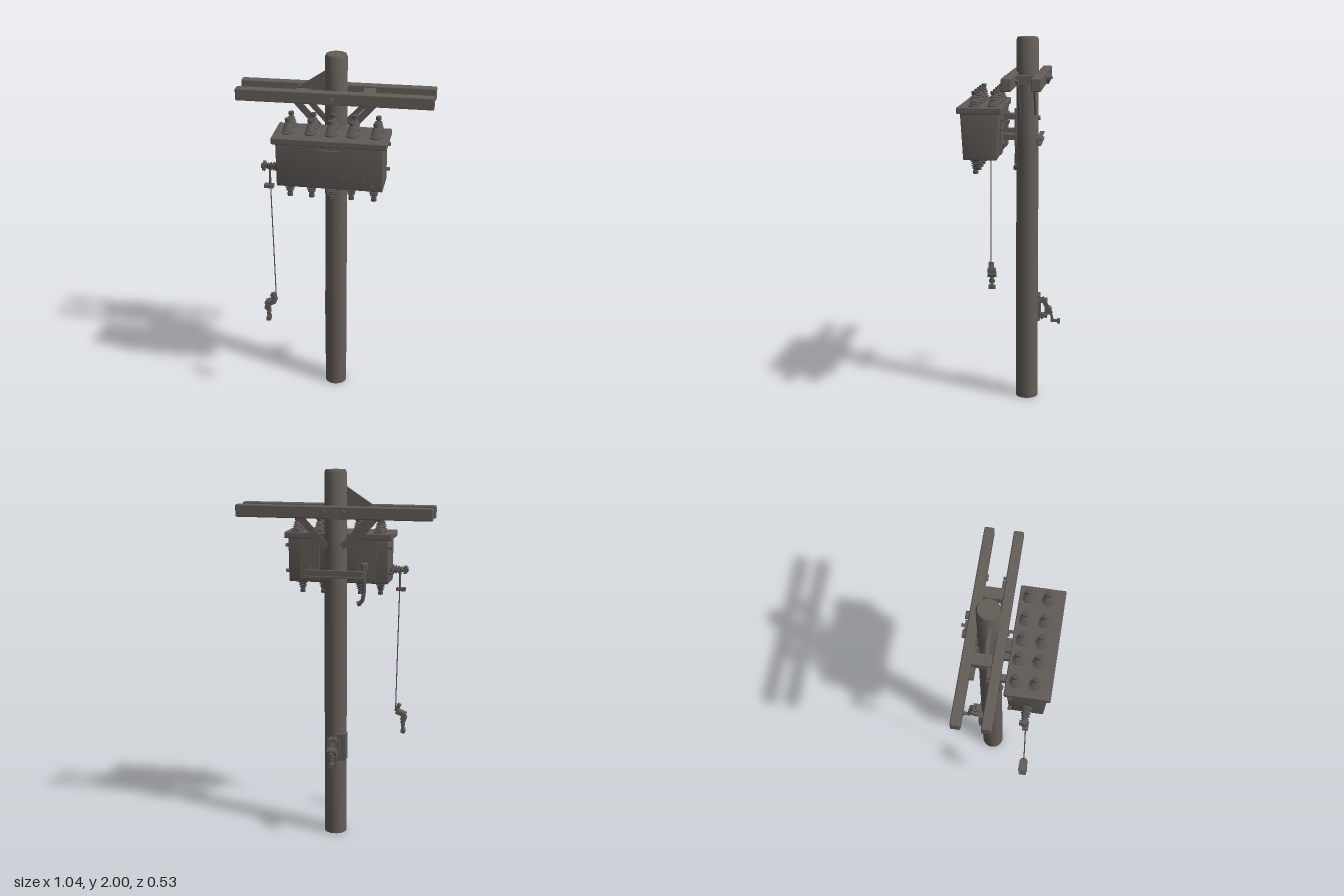
import * as THREE from 'three';
import { RoundedBoxGeometry } from 'three/addons/geometries/RoundedBoxGeometry.js';
import { toCreasedNormals } from 'three/addons/utils/BufferGeometryUtils.js';

const wood = new THREE.MeshStandardMaterial({ color: 0x645e59 });
wood.name = 'weathered wood';
const steel = new THREE.MeshStandardMaterial({ color: 0x605b58 });
steel.name = 'painted steel';
const ceramic = new THREE.MeshStandardMaterial({ color: 0x565250 });
ceramic.name = 'dark ceramic';

const V = (x, y, z) => new THREE.Vector3(x, y, z);
const UP = V(0, 1, 0);

export function createModel() {
  const root = new THREE.Group();

  function add(name, geo, mat, pos = [0, 0, 0], rot = [0, 0, 0], parent = root) {
    const m = new THREE.Mesh(geo, mat);
    m.name = name;
    m.position.set(...pos);
    m.rotation.set(...rot);
    parent.add(m);
    return m;
  }
  const box = (name, size, pos, mat = steel, rot, parent) =>
    add(name, new THREE.BoxGeometry(...size), mat, pos, rot, parent);
  const cyl = (name, r, h, pos, mat = steel, rot, sides = 12) =>
    add(name, new THREE.CylinderGeometry(r, r, h, sides), mat, pos, rot);
  const bolt = (pos, r = 0.01, h = 0.014) => cyl('bolt', r, h, pos, steel, [Math.PI / 2, 0, 0], 6);

  // Flat bar or round rod running between two points
  function link(name, a, b, w, d, round = false, mat = steel) {
    const len = a.distanceTo(b);
    const geo = round ? new THREE.CylinderGeometry(w, d, len, 8) : new THREE.BoxGeometry(w, len, d);
    const m = add(name, geo, mat, a.clone().add(b).multiplyScalar(0.5).toArray());
    m.quaternion.setFromUnitVectors(UP, b.clone().sub(a).normalize());
    return m;
  }

  // Pole with a slightly worn top edge
  const poleProfile = [[0, 0], [0.061, 0], [0.0605, 0.6], [0.06, 1.4], [0.059, 1.985], [0.053, 2], [0, 2]];
  add('pole', toCreasedNormals(new THREE.LatheGeometry(poleProfile.map(p => new THREE.Vector2(...p)), 24), 0.6),
    wood, [0.002, 0, -0.082]);

  // Twin crossarms, chamfered and a little uneven
  for (const z of [-0.013, -0.16]) {
    const geo = new RoundedBoxGeometry(1.04, 0.066, 0.05, 1, 0.007);
    const p = geo.attributes.position;
    for (let i = 0; i < p.count; i++) p.setY(i, p.getY(i) + 0.002 * Math.sign(p.getX(i)));
    add('crossarm', geo, wood, [0, 1.785, z]);
  }
  // Through bolts, washers, spacers and braces
  cyl('throughBolt', 0.009, 0.26, [-0.005, 1.785, -0.085], steel, [Math.PI / 2, 0, 0], 8);
  box('rearWasherPlate', [0.05, 0.045, 0.014], [-0.005, 1.775, -0.19]);
  for (const s of [-1, 1]) {
    bolt([s * 0.05, 1.785, -0.194], 0.02, 0.018);
    box('armSpacer', [0.06, 0.045, 0.1], [s * 0.175, 1.785, -0.087], wood);
    link('armBrace', V(s * 0.23, 1.775, -0.046), V(s * 0.045, 1.57, -0.046), 0.035, 0.009);
    link('rearBrace', V(s * 0.2, 1.775, -0.128), V(s * 0.04, 1.6, -0.128), 0.03, 0.008);
    box('braceFoot', [0.11, 0.03, 0.016], [s * 0.2, 1.775, -0.045]);
    for (const x of [0.25, 0.27]) {
      bolt([s * x, 1.785, -0.043], 0.008, 0.018);
      bolt([s * x, 1.785, -0.132], 0.007, 0.014);
    }
  }
  // Triangular gusset beside the pole top
  const tri = new THREE.Shape([[-0.2, 1.815], [-0.05, 1.815], [-0.05, 1.915]].map(p => new THREE.Vector2(...p)));
  add('gusset', new THREE.ExtrudeGeometry(tri, { depth: 0.02, bevelEnabled: false }), steel, [0, 0, -0.075]);
  bolt([-0.015, 1.77, 0.015], 0.009, 0.01);

  // Tank with tapering front and back
  const tankGeo = new RoundedBoxGeometry(0.55, 0.25, 0.205, 2, 0.006);
  const tp = tankGeo.attributes.position;
  for (let i = 0; i < tp.count; i++) {
    const t = 0.5 - tp.getY(i) / 0.25;
    tp.setZ(i, tp.getZ(i) * (1 - 0.15 * t));
  }
  add('tank', toCreasedNormals(tankGeo, 0.6), steel, [0.015, 1.505, 0.143]);
  add('tankLid', new RoundedBoxGeometry(0.59, 0.035, 0.23, 2, 0.006), steel, [0.015, 1.637, 0.146]);
  box('frontLug', [0.1, 0.03, 0.016], [0.015, 1.583, 0.245]);
  for (const [x, y, z] of [[0.09, 1.45, 0.236], [0.19, 1.433, 0.235], [0.235, 1.412, 0.234]]) bolt([x, y, z], 0.01, 0.008);
  for (const x of [-0.268, 0.298]) {
    cyl('sideStud', 0.01, 0.02, [x, 1.58, 0.06], steel, [0, 0, Math.PI / 2], 6);
    cyl('sideStud', 0.009, 0.02, [x, 1.44, 0.06], steel, [0, 0, Math.PI / 2], 6);
  }

  // Mounting plates on the tank back, hung from the pole
  for (const x of [-0.14, 0.17]) {
    box('mountPlate', [0.11, 0.22, 0.008], [x, 1.51, 0.043]);
    for (const [dx, y] of [[-0.03, 1.58], [0.03, 1.58], [-0.03, 1.53], [0.03, 1.53]]) bolt([x + dx, y, 0.035], 0.007);
    bolt([x, 1.45, 0.034], 0.018, 0.016);
  }
  for (const y of [1.47, 1.58]) box('poleBracket', [0.07, 0.03, 0.07], [0.005, y, 0.012]);
  box('poleBracketPlate', [0.06, 0.2, 0.012], [0.005, 1.52, -0.02]);

  // Ribbed bushings, one shared profile
  const ribbed = (h, r) => {
    const pts = [[0, 0], [r, 0], [r, h * 0.12]];
    for (let i = 0; i < 4; i++) {
      const y = h * (0.16 + i * 0.14), w = r * (0.95 - i * 0.1);
      pts.push([w * 0.65, y], [w, y + h * 0.03], [w * 0.65, y + h * 0.1]);
    }
    pts.push([r * 0.3, h * 0.74], [r * 0.45, h * 0.78], [r * 0.45, h * 0.97], [0, h]);
    return toCreasedNormals(new THREE.LatheGeometry(pts.map(p => new THREE.Vector2(...p)), 14), 0.7);
  };
  const topBushing = ribbed(0.085, 0.031), lowBushing = ribbed(0.085, 0.032);
  for (const x of [-0.207, -0.09, 0.014, 0.124, 0.246]) {
    for (const z of [0.077, 0.175]) add('topBushing', topBushing, ceramic, [x, 1.65, z]);
    add('bottomBushing', lowBushing, ceramic, [x * 0.97, 1.386, 0.17], [Math.PI, 0, 0]);
  }
  add('sideBushing', ribbed(0.105, 0.03), ceramic, [-0.255, 1.45, 0.145], [0, 0, Math.PI / 2]);
  box('sideTerminal', [0.016, 0.04, 0.045], [-0.342, 1.45, 0.143]);

  // Hanging lead with its clips
  link('leadRod', V(-0.312, 1.45, 0.148), V(-0.312, 1.33, 0.148), 0.006, 0.006, true);
  box('leadClip', [0.05, 0.018, 0.03], [-0.318, 1.34, 0.15]);
  link('lead', V(-0.31, 1.335, 0.15), V(-0.296, 0.66, 0.15), 0.003, 0.003, true);

  // Hook clamp at the end of the lead
  link('clampJaw', V(-0.318, 0.685, 0.15), V(-0.3, 0.645, 0.15), 0.022, 0.03);
  link('clampBody', V(-0.3, 0.645, 0.15), V(-0.355, 0.622, 0.15), 0.024, 0.046);
  link('clampNeck', V(-0.345, 0.64, 0.15), V(-0.338, 0.57, 0.15), 0.013, 0.013, true);
  cyl('clampEye', 0.017, 0.05, [-0.343, 0.605, 0.15], steel, [Math.PI / 2, 0, 0]);
  link('clampScrew', V(-0.34, 0.58, 0.15), V(-0.34, 0.53, 0.15), 0.008, 0.008, true);
  box('clampGrip', [0.024, 0.022, 0.04], [-0.34, 0.53, 0.15]);
  box('clampKnuckle', [0.018, 0.016, 0.034], [-0.34, 0.565, 0.15]);

  // Bent operating handle below the tank
  const bend = new THREE.CatmullRomCurve3([V(-0.135, 1.5, -0.012), V(-0.14, 1.41, -0.014),
    V(-0.138, 1.34, -0.012), V(-0.128, 1.295, -0.012), V(-0.105, 1.28, -0.008)]);
  add('operatingHandle', new THREE.TubeGeometry(bend, 16, 0.011, 8), steel);
  cyl('handleTip', 0.014, 0.018, [-0.112, 1.282, -0.01], steel, [0, 0, 1.2]);
  box('handlePivot', [0.035, 0.035, 0.06], [-0.135, 1.48, 0.012]);

  // Channel bar across the back of the pole
  box('channelWeb', [0.31, 0.036, 0.008], [0, 1.46, -0.145]);
  for (const y of [1.444, 1.476]) box('channelFlange', [0.31, 0.008, 0.024], [0, y, -0.153]);
  bolt([0, 1.46, -0.152], 0.011, 0.018);
  bolt([0, 1.57, -0.143], 0.012, 0.016);

  // Lower switch box and its lever on the pole
  box('switchBox', [0.065, 0.15, 0.06], [-0.033, 0.507, -0.122]);
  box('switchPlate', [0.07, 0.09, 0.012], [0.0, 0.51, -0.152]);
  for (const y of [0.47, 0.555]) box('switchLug', [0.045, 0.02, 0.05], [0, y, -0.17]);
  link('switchArm', V(0, 0.57, -0.165), V(0, 0.48, -0.215), 0.022, 0.022);
  link('switchLink', V(0, 0.45, -0.16), V(0, 0.51, -0.21), 0.016, 0.016);
  cyl('switchPivot', 0.02, 0.05, [0, 0.5, -0.2], steel, [0, 0, Math.PI / 2]);
  link('leverDrop', V(-0.005, 0.5, -0.21), V(-0.005, 0.44, -0.225), 0.013, 0.013);
  box('lever', [0.016, 0.014, 0.05], [-0.005, 0.437, -0.238]);
  box('leverTip', [0.022, 0.026, 0.014], [-0.005, 0.435, -0.258]);

  return root;
}
